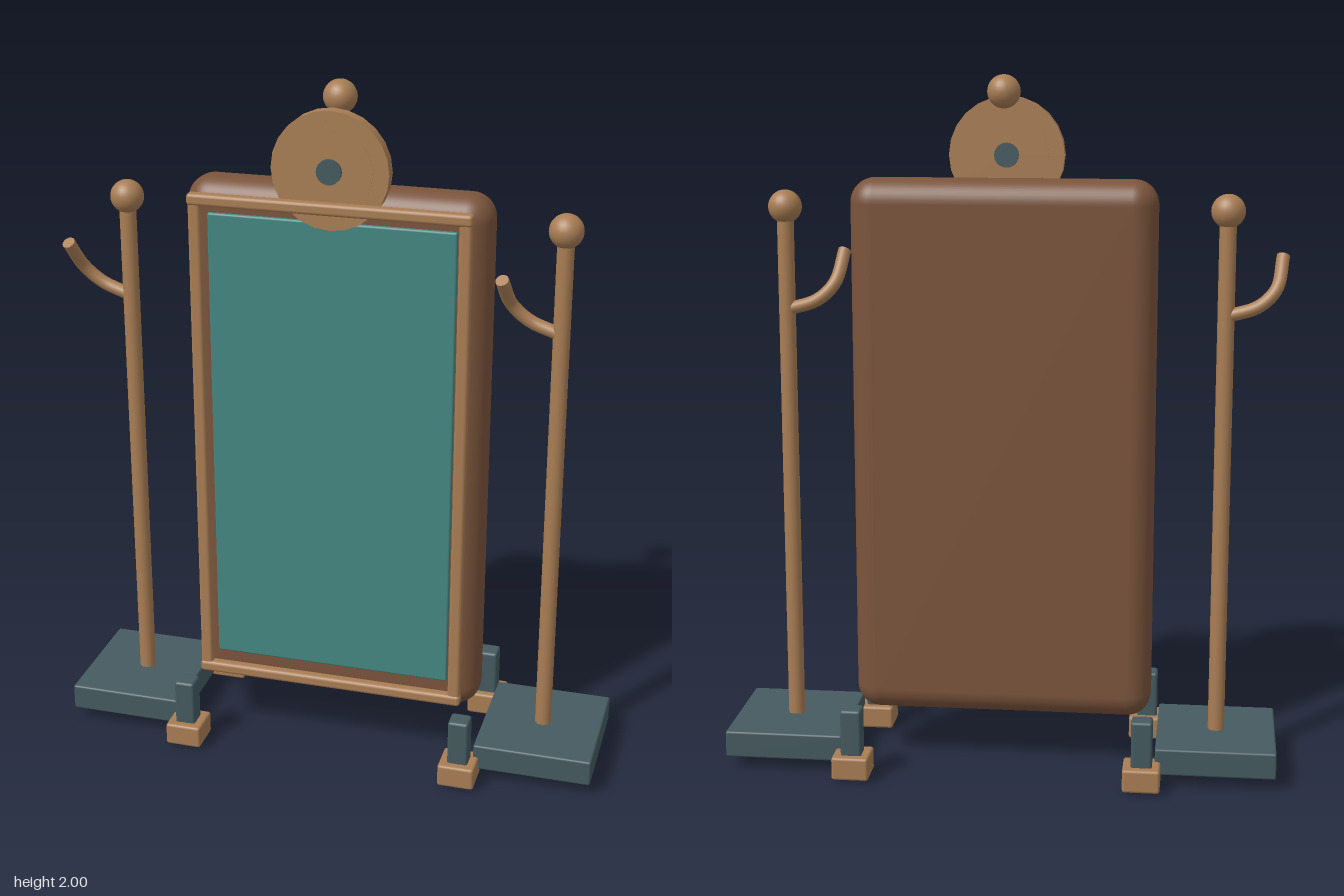
import * as THREE from 'three';
import { RoundedBoxGeometry } from 'three/addons/geometries/RoundedBoxGeometry.js';

const material = (name, color) => {
  const m = new THREE.MeshStandardMaterial({ color });
  m.name = name;
  return m;
};

export function createModel() {
  const group = new THREE.Group();
  const tan = material('tan wood', 0xa87d54);
  const brown = material('brown wood', 0x7a543c);
  const teal = material('teal glass', 0x458680);
  const slate = material('slate metal', 0x455a60);

  const add = (name, geometry, mat, x, y, z, parent = group) => {
    const mesh = new THREE.Mesh(geometry, mat);
    mesh.name = name;
    mesh.position.set(x, y, z);
    parent.add(mesh);
    return mesh;
  };
  const box = (w, h, d, r, seg = 2) => new RoundedBoxGeometry(w, h, d, seg, r);
  const disc = (r, depth, sides) => new THREE.CylinderGeometry(r, r, depth, sides).rotateX(Math.PI / 2);

  // Padded back panel and glass
  add('backPanel', box(0.87, 1.565, 0.156, 0.07, 6), brown, 0, 0.933, 0);
  add('glass', box(0.705, 1.37, 0.016, 0.006), teal, 0, 0.947, 0.097);

  // Frame rails standing proud of the panel
  for (const y of [0.22, 1.676]) add('frameRail', box(0.8, 0.034, 0.034, 0.01), tan, 0, y, 0.125);
  for (const x of [-0.38, 0.38]) add('frameStile', box(0.036, 1.46, 0.03, 0.01), tan, x, 0.948, 0.123);

  // Crest medallion with a raised inner face, boss and finial
  add('medallion', disc(0.165, 0.038, 24), tan, 0, 1.775, 0.089);
  add('medallionInset', disc(0.12, 0.04, 24), tan, 0, 1.775, 0.089);
  add('medallionBoss', disc(0.035, 0.06, 20), slate, 0, 1.775, 0.09);
  add('finial', new THREE.SphereGeometry(0.047, 24, 16), tan, 0, 1.955, 0);

  // Side stands, each with a hook turned to the same side
  const hookPath = new THREE.CatmullRomCurve3([
    [0, 1.335, 0], [-0.09, 1.365, -0.007], [-0.138, 1.412, 0.008], [-0.157, 1.5, 0.07],
  ].map((p) => new THREE.Vector3(...p)));
  for (const x of [-0.627, 0.627]) {
    const stand = new THREE.Group();
    stand.name = 'sideStand';
    stand.position.x = x;
    group.add(stand);
    add('standBase', box(0.345, 0.078, 0.38, 0.006), slate, 0, 0.074, 0, stand);
    add('post', new THREE.CylinderGeometry(0.024, 0.024, 1.595, 20), tan, 0, 0.8225, 0, stand);
    add('postKnob', new THREE.SphereGeometry(0.048, 24, 16), tan, 0, 1.63, 0, stand);
    add('hook', new THREE.TubeGeometry(hookPath, 24, 0.019, 12), tan, 0, 0, 0, stand);
    const cap = add('hookTip', new THREE.CircleGeometry(0.019, 12), tan, 0, 0, 0, stand);
    cap.position.copy(hookPath.getPoint(1));
    cap.quaternion.setFromUnitVectors(new THREE.Vector3(0, 0, 1), hookPath.getTangent(1));
  }
  // The finished knob on the base line of each stand sits off centre
  group.children.filter((c) => c.name === 'sideStand').forEach((s) => {
    s.getObjectByName('standBase').position.x = 0;
  });

  // Four feet, each a block with a peg
  for (const x of [-0.418, 0.418]) {
    for (const z of [-0.211, 0.211]) {
      add('foot', box(0.107, 0.068, 0.107, 0.008), tan, x, 0.041, z);
      add('footPeg', box(0.06, 0.21, 0.06, 0.008), slate, x, 0.105, z);
    }
  }
  return group;
}
